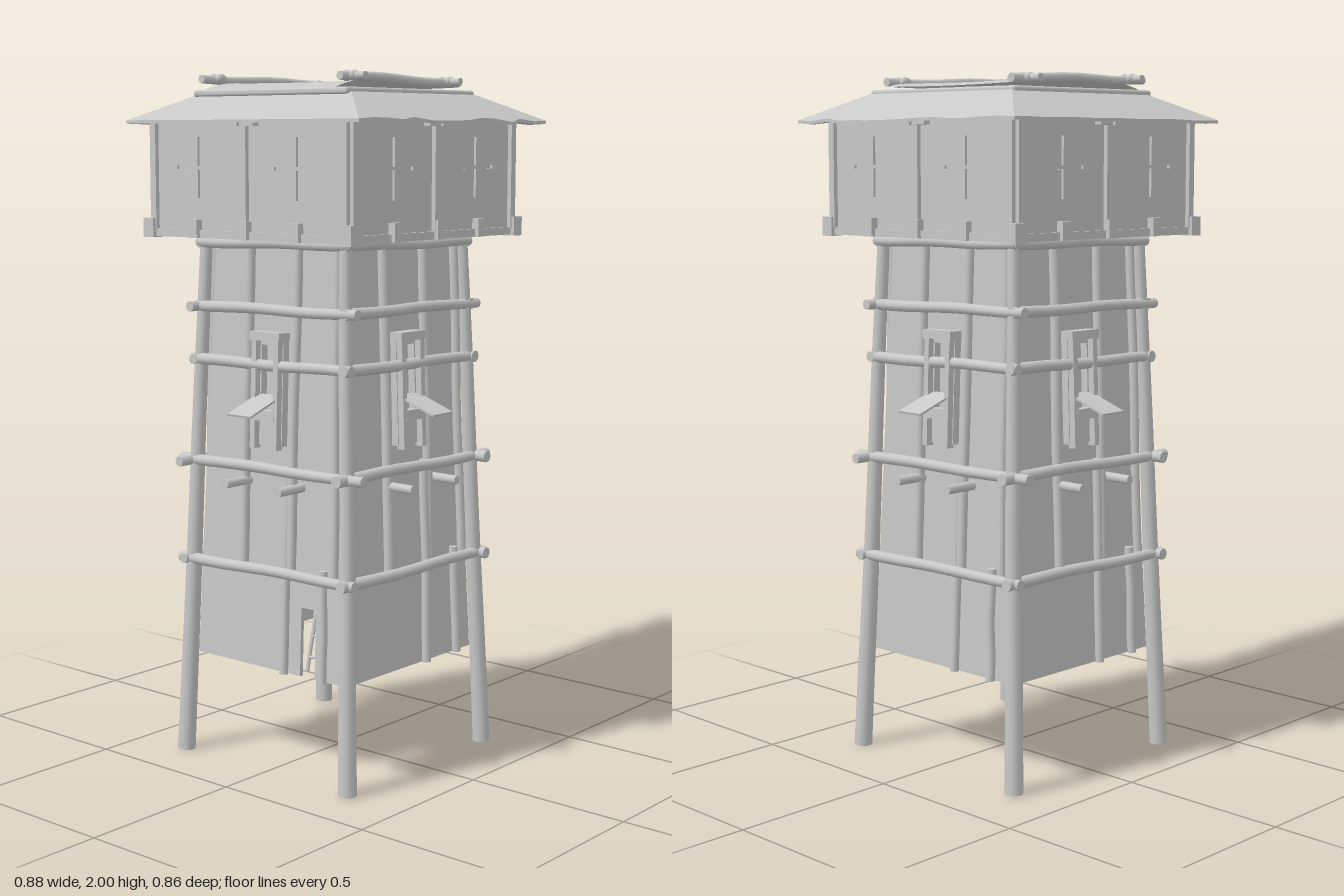
import * as THREE from 'three';
import { RoundedBoxGeometry } from 'three/addons/geometries/RoundedBoxGeometry.js';

const stone = new THREE.MeshStandardMaterial({ color: 0xc8c8c8, side: THREE.DoubleSide });
stone.name = 'plain grey';

let seed = 7;
const rnd = () => ((seed = (seed * 16807) % 2147483647) / 2147483647) * 2 - 1;

function add(parent, name, geo, x = 0, y = 0, z = 0) {
  const m = new THREE.Mesh(geo, stone);
  m.name = name;
  m.position.set(x, y, z);
  parent.add(m);
  return m;
}
const box = (p, name, w, h, d, x, y, z) => add(p, name, new THREE.BoxGeometry(w, h, d), x, y, z);

function group(parent, name, x = 0, y = 0, z = 0) {
  const g = new THREE.Group();
  g.name = name;
  g.position.set(x, y, z);
  parent.add(g);
  return g;
}

// Slightly crooked round log from point a to point b
function log(parent, name, a, b, r0, r1 = r0, wob = 0.002) {
  const A = new THREE.Vector3(...a), B = new THREE.Vector3(...b), dir = B.clone().sub(A), L = dir.length();
  const g = new THREE.CylinderGeometry(r1, r0, L, 10, 8);
  const p = g.attributes.position, ph = rnd() * 3, ph2 = rnd() * 3;
  for (let i = 0; i < p.count; i++) {
    const t = p.getY(i) / L + 0.5, e = Math.sin(t * Math.PI);
    p.setX(i, p.getX(i) + wob * e * Math.sin(t * 7 + ph));
    p.setZ(i, p.getZ(i) + wob * e * Math.sin(t * 6 + ph2));
  }
  const m = add(parent, name, g);
  m.position.copy(A).add(B).multiplyScalar(0.5);
  m.quaternion.setFromUnitVectors(new THREE.Vector3(0, 1, 0), dir.normalize());
  return m;
}

const poly = (C, pts) => new C(pts.map(([x, y]) => new THREE.Vector2(x, y)));
const rect = (C, x0, x1, y0, y1) => poly(C, [[x0, y0], [x1, y0], [x1, y1], [x0, y1]]);
const extrude = (s, depth) => new THREE.ExtrudeGeometry(s, { depth, bevelEnabled: false });
const legAt = y => 0.317 - 0.036 * y;

// One leaning side of the shaft: wall, battens, rails, pegs and window
function shaftSide(parent, index) {
  const side = group(parent, 'shaftSide', 0, 0, 0.317);
  side.rotation.x = -0.036;
  const b = legAt(0.3) - 0.018, t = legAt(1.56) - 0.018;
  const outline = [[-b, 0.3]];
  if (index === 0) outline.push([0.115, 0.3], [0.115, 0.5], [0.17, 0.5], [0.17, 0.3]);
  outline.push([b, 0.3], [t, 1.56], [-t, 1.56]);
  add(side, 'shaftWall', extrude(poly(THREE.Shape, outline), 0.012), 0, 0, -0.03);

  // Upright battens, some in two lengths
  for (const [x0, y0, x1, y1, r] of [[-0.1, 0.58, -0.095, 1.54, 0.015], [0.063, 0.3, 0.068, 0.9, 0.013],
    [0.083, 0.58, 0.086, 1.54, 0.014], [0.208, 0.3, 0.203, 0.62, 0.013], [0.243, 0.58, 0.23, 1.54, 0.013]])
    log(side, 'upright', [x0, y0, -0.006], [x1, y1, -0.006], r);

  // Lashed horizontal rails
  const lift = index % 2 ? 0.004 : -0.004;
  for (const [y, x0, x1] of [[1.525, -0.28, 0.285], [1.34, -0.29, 0.32], [1.185, -0.302, 0.302],
    [0.887, -0.342, 0.355], [0.592, -0.336, 0.332]])
    log(side, 'rail', [x0, y + lift, 0.01], [x1, y - lift, 0.01], 0.017, 0.015, 0.003);

  // Pegs poking out of the wall
  for (const x of [-0.095, 0.108]) log(side, 'peg', [x, 0.845, -0.04], [x, 0.84, 0.084], 0.014, 0.013, 0);

  // Slit window with frame, sill and propped flap
  const frame = rect(THREE.Shape, -0.06, 0.048, 0.955, 1.275);
  frame.holes.push(rect(THREE.Path, -0.034, 0.022, 1.05, 1.24));
  add(side, 'windowFrame', extrude(frame, 0.026), 0, 0, -0.021);
  for (const x of [-0.048, 0.036]) box(side, 'windowPost', 0.018, 0.33, 0.025, x, 1.11, 0.012);
  box(side, 'windowLintel', 0.112, 0.025, 0.05, -0.006, 1.265, 0.003);
  box(side, 'windowSill', 0.08, 0.03, 0.03, -0.006, 1.04, 0.01);
  box(side, 'windowFlap', 0.088, 0.006, 0.135, -0.006, 1.072, 0.062).rotation.x = 0.38;
}

// One cabin side: wall with two cross-shaped slits, posts and beam ends
function cabinSide(parent) {
  const side = group(parent, 'cabinSide');
  const wall = rect(THREE.Shape, -0.368, 0.368, 1.555, 1.885);
  const s = 0.005, h = 0.085;
  const cross = [[-s, -h], [s, -h], [s, -s], [h, -s], [h, s], [s, s], [s, h], [-s, h], [-s, s], [-h, s], [-h, -s], [-s, -s]];
  for (const x of [-0.185, 0.185])
    wall.holes.push(poly(THREE.Path, cross.map(([u, v]) => [x + u, 1.735 + v])));
  add(side, 'cabinWall', extrude(wall, 0.008), 0, 0, 0.36);
  box(side, 'cabinLining', 0.712, 0.32, 0.004, 0, 1.72, 0.356);
  for (const x of [-0.357, -0.005, 0.357]) box(side, 'cabinPost', 0.022, 0.32, 0.018, x, 1.715, 0.372);
  box(side, 'bottomRail', 0.756, 0.022, 0.016, 0, 1.55, 0.37);
  for (const x of [-0.19, 0, 0.19]) box(side, 'beamEnd', 0.03, 0.052, 0.06, x, 1.565, 0.36);
  for (const x of [-0.035, 0.025]) box(side, 'rafterEnd', 0.036, 0.016, 0.04, x, 1.858, 0.37);
  box(side, 'cornerBlock', 0.04, 0.055, 0.04, 0.37, 1.563, 0.37);
  return side;
}

// Thin hipped roof, ragged along the right and back eaves, built from square rings
function roofGeometry() {
  const N = 14, M = 4 * N, pos = [], idx = [], jag = [];
  const ragged = [0.001, 0.012, 0.008, 0.003];
  for (let i = 0; i < M; i++) jag.push(i % N ? rnd() * ragged[Math.floor(i / N)] : 0);
  const rings = [[0.27, 1.945], [0.285, 1.938], [0.425, 1.867], [0.425, 1.858], [0.28, 1.926]];
  rings.forEach(([r, y], k) => {
    const edge = k === 2 || k === 3 ? 1 : 0;
    for (let i = 0; i < M; i++) {
      const a = Math.floor(i / N) * Math.PI / 2;
      const x = ((i % N) / N * 2 - 1) * r, z = r + edge * jag[i];
      pos.push(x * Math.cos(a) + z * Math.sin(a), y - edge * jag[i] * 0.5, z * Math.cos(a) - x * Math.sin(a));
    }
  });
  for (let k = 0; k < rings.length - 1; k++) for (let i = 0; i < M; i++) {
    const j = (i + 1) % M, a = k * M + i, b = k * M + j;
    idx.push(a, a + M, b, b, a + M, b + M);
  }
  const g = new THREE.BufferGeometry();
  g.setAttribute('position', new THREE.Float32BufferAttribute(pos, 3));
  g.setIndex(idx);
  const flat = g.toNonIndexed();
  flat.computeVertexNormals();
  return flat;
}

export function createModel() {
  const tower = new THREE.Group();
  tower.name = 'watchtower';

  // Corner legs and shaft
  const shaft = group(tower, 'shaft', -0.008, 0, 0.015);
  for (const sx of [-1, 1]) for (const sz of [-1, 1])
    log(shaft, 'leg', [sx * 0.317, 0, sz * 0.317], [sx * 0.262, 1.55, sz * 0.262], 0.027, 0.018, 0.002);
  for (let i = 0; i < 4; i++) {
    const quarter = group(shaft, 'shaftQuarter');
    quarter.rotation.y = i * Math.PI / 2;
    shaftSide(quarter, i);
  }

  // Small ladder behind the doorway
  for (const x of [0.122, 0.163]) log(shaft, 'ladderRail', [x, 0.31, 0.265], [x, 0.6, 0.2], 0.006);
  for (let i = 0; i < 4; i++)
    log(shaft, 'ladderRung', [0.117, 0.35 + i * 0.06, 0.256 - i * 0.0135], [0.168, 0.35 + i * 0.06, 0.256 - i * 0.0135], 0.004);

  // Cabin with floor and joists
  const cabin = group(tower, 'cabin', -0.01, 0, 0.015);
  for (let i = 0; i < 4; i++) cabinSide(cabin).rotation.y = i * Math.PI / 2;
  box(cabin, 'floor', 0.73, 0.015, 0.73, 0, 1.583, 0);
  for (const o of [-0.27, -0.19, 0.19, 0.27]) {
    box(cabin, 'joist', 0.026, 0.035, 0.73, o, 1.56, 0);
    box(cabin, 'joist', 0.73, 0.03, 0.026, 0, 1.56, o);
  }

  // Roof, deck frame and cloth cover that rolls down at the front
  add(cabin, 'roof', roofGeometry(), 0.004, 0, -0.011).scale.x = 1.02;
  add(cabin, 'roofDeck', new RoundedBoxGeometry(0.575, 0.02, 0.575, 2, 0.008), 0.002, 1.943, 0);
  const cloth = new THREE.PlaneGeometry(0.49, 0.55, 12, 22).rotateX(-Math.PI / 2);
  const p = cloth.attributes.position;
  for (let i = 0; i < p.count; i++) {
    const x = p.getX(i), z = p.getZ(i) + 0.025;
    const front = Math.max(0, (z - 0.17) / 0.13), back = Math.max(0, (-z - 0.16) / 0.09);
    p.setXYZ(i, x, 1.974 - 0.021 * front * front - 0.012 * back * back - 0.003 * (1 - (x / 0.245) ** 2), z);
  }
  cloth.computeVertexNormals();
  add(tower, 'clothCover', cloth, -0.007, 0, 0);

  // Poles pinning the cloth, with lashed cross pegs
  for (const [x, s] of [[-0.258, -1], [0.24, 1]]) {
    log(tower, 'coverPole', [x, 1.975, -0.245], [x, 1.983, s < 0 ? 0.305 : 0.285], 0.013, 0.012, 0.005);
    for (const [z, y] of [[-0.185, 1.976], [0.24, 1.984]]) {
      log(tower, 'crossPeg', [x - s * 0.022, y, z], [x + s * 0.053, y, z], 0.012, 0.011, 0);
      for (const o of [-0.014, 0.014])
        add(tower, 'lashing', new THREE.SphereGeometry(0.017, 10, 8), x + o, y, z).scale.set(0.7, 0.9, 1.2);
    }
  }
  return tower;
}
